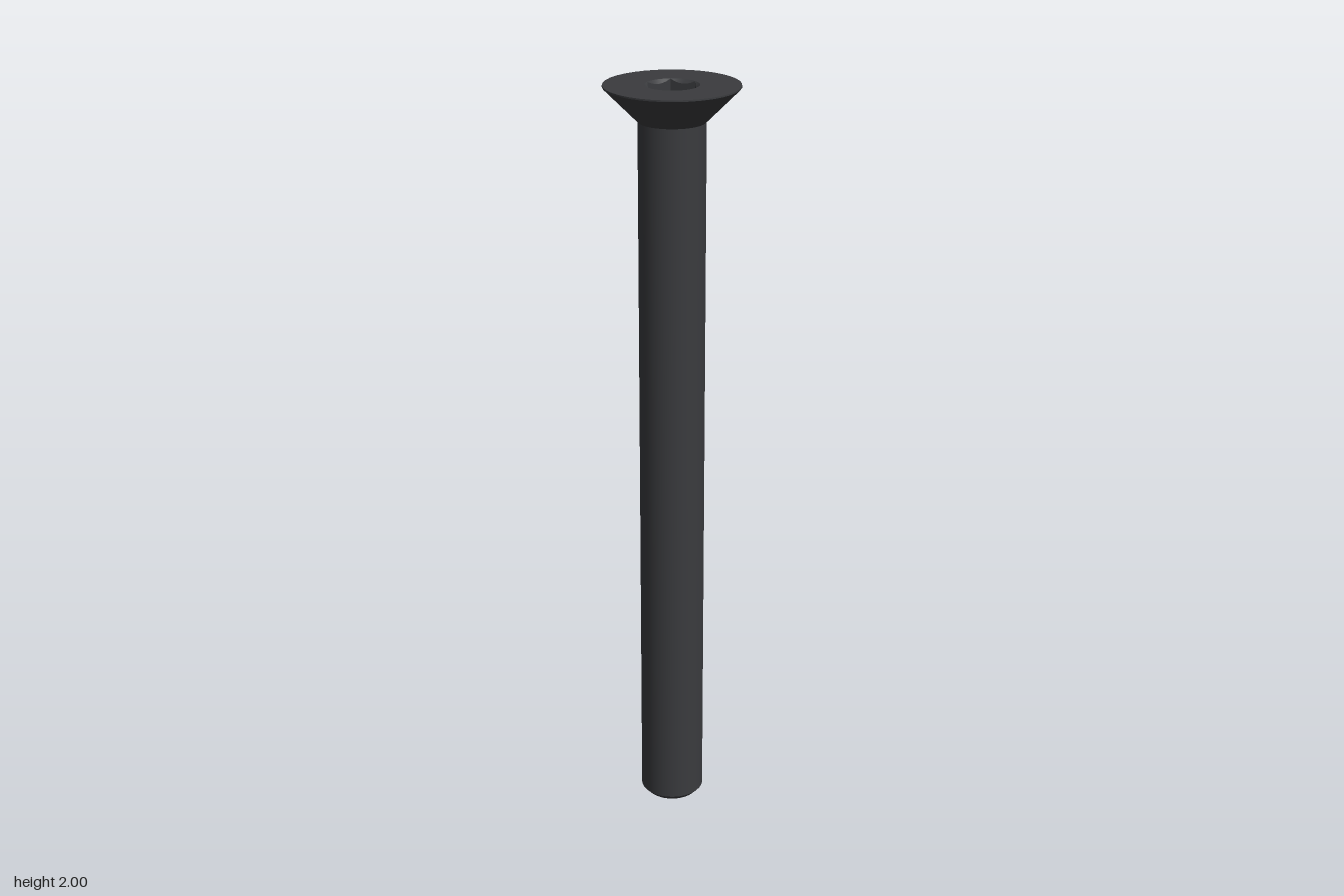
import * as THREE from 'three';
import { toCreasedNormals } from 'three/addons/utils/BufferGeometryUtils.js';

const SEGMENTS = 36;
const SOCKET_RADIUS = 0.068; // round mouth of the socket
const HEX_RADIUS = 0.0675;   // corners of the hexagon, pointing along x
const SOCKET_FLOOR = 1.937;

// Distance from the axis to a hexagon's outline at an angle
function hexRadius(angle) {
  const sector = Math.PI / 3;
  const fromCorner = ((angle % sector) + sector) % sector;
  return HEX_RADIUS * Math.cos(sector / 2) / Math.cos(fromCorner - sector / 2);
}

function lathe(profile) {
  const points = profile.map(([r, y]) => new THREE.Vector2(r, y));
  return toCreasedNormals(new THREE.LatheGeometry(points, SEGMENTS), 0.5);
}

// Skins rings that run inward and down, as seen from above
function skinRings(rings) {
  const positions = [];
  const add = (...points) => points.forEach((p) => positions.push(p.x, p.y, p.z));
  for (let r = 0; r < rings.length - 1; r++) {
    for (let i = 0; i < SEGMENTS; i++) {
      const a0 = (i / SEGMENTS) * Math.PI * 2;
      const a1 = ((i + 1) / SEGMENTS) * Math.PI * 2;
      const outer0 = rings[r](a0), outer1 = rings[r](a1);
      const inner0 = rings[r + 1](a0), inner1 = rings[r + 1](a1);
      add(outer0, inner0, outer1);
      if (inner0.distanceTo(inner1) > 1e-6) add(inner0, inner1, outer1);
    }
  }
  const geometry = new THREE.BufferGeometry();
  geometry.setAttribute('position', new THREE.Float32BufferAttribute(positions, 3));
  geometry.computeVertexNormals();
  return toCreasedNormals(geometry, 0.5);
}

export function createModel() {
  const model = new THREE.Group();
  model.name = 'countersunkScrew';
  const steel = new THREE.MeshStandardMaterial({ color: 0x3a3b3e });

  const addPart = (name, geometry) => {
    const mesh = new THREE.Mesh(geometry, steel);
    mesh.name = name;
    model.add(mesh);
  };

  // Plain shank with a chamfered tip
  addPart('shank', lathe([[0, 0], [0.071, 0], [0.085, 0.015], [0.085, 1.91]]));

  // Conical head with a thin rim and a flat annular top
  addPart('head', lathe([[0.085, 1.91], [0.171, 1.996], [0.171, 2], [SOCKET_RADIUS, 2]]));

  // Hex socket: conical lead-in, six straight walls, flat floor
  const ring = (radius, height) => (a) => {
    const r = radius(a);
    return new THREE.Vector3(r * Math.cos(a), height(r), r * Math.sin(a));
  };
  addPart('hexSocket', skinRings([
    ring(() => SOCKET_RADIUS, () => 2),
    ring(hexRadius, (r) => 2 - (SOCKET_RADIUS - r)),
    ring(hexRadius, () => SOCKET_FLOOR),
    ring(() => 0, () => SOCKET_FLOOR),
  ]));

  return model;
}
